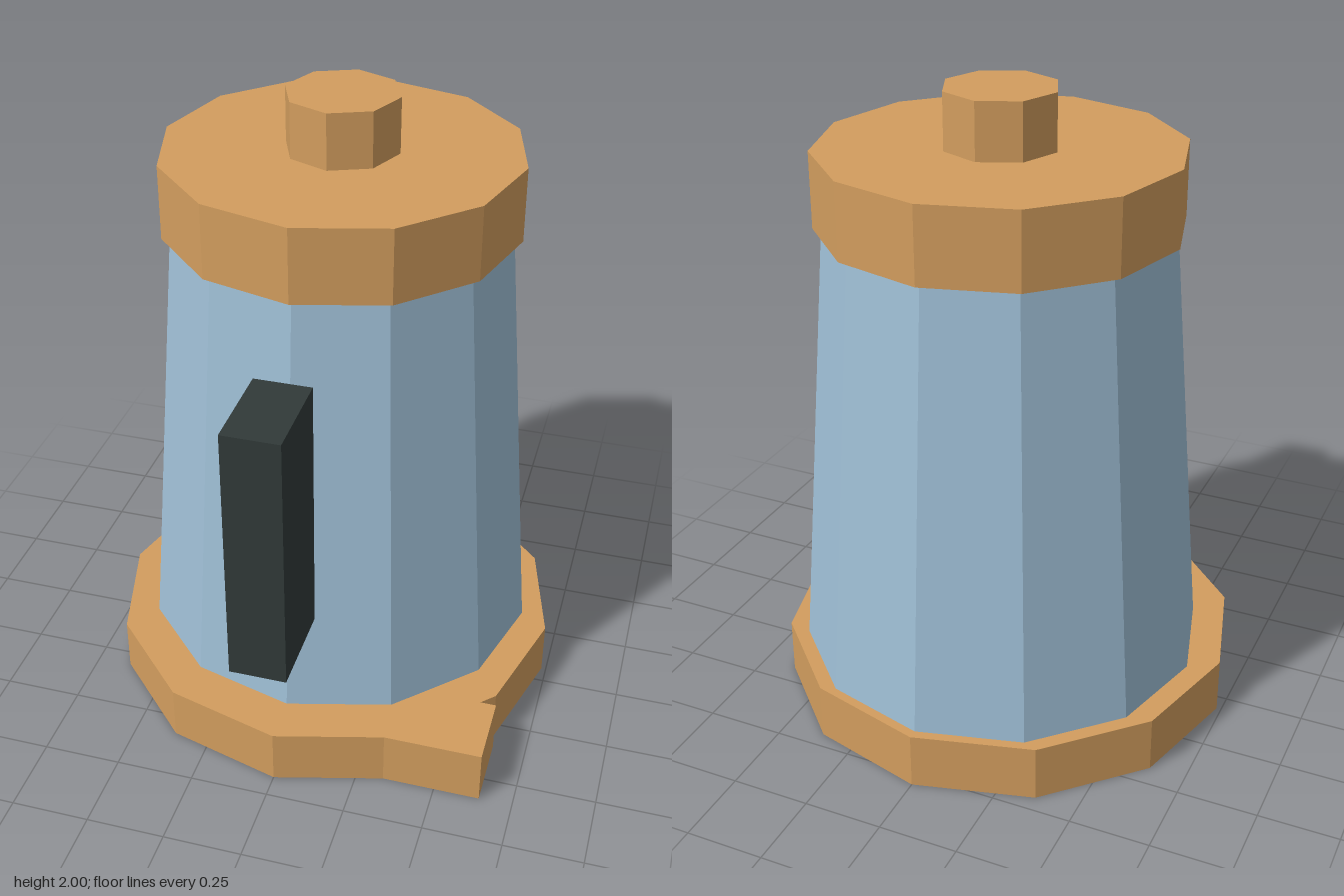
import * as THREE from 'three';

export function createModel() {
  const model = new THREE.Group();
  model.name = 'coffeePot';

  const mat = (name, color) => {
    const m = new THREE.MeshStandardMaterial({ color });
    m.name = name;
    return m;
  };
  const tan = mat('tan', 0xd29d5e);
  const blue = mat('blue', 0x9fbfd6);
  const dark = mat('charcoal', 0x313a39);

  const add = (name, geometry, material, x, y, z) => {
    const mesh = new THREE.Mesh(geometry, material);
    mesh.name = name;
    mesh.position.set(x, y, z);
    model.add(mesh);
  };

  // Faceted prism between two heights, with a corner facing the front
  const prism = (name, rTop, rBottom, y0, y1, z, sides, material) => {
    const g = new THREE.CylinderGeometry(rTop, rBottom, y1 - y0, sides).toNonIndexed();
    g.computeVertexNormals();
    add(name, g, material, 0, (y0 + y1) / 2, z);
  };

  // Box given by its extents
  const box = (name, [x0, x1], [y0, y1], [z0, z1], material) =>
    add(name, new THREE.BoxGeometry(x1 - x0, y1 - y0, z1 - z0), material,
      (x0 + x1) / 2, (y0 + y1) / 2, (z0 + z1) / 2);

  // Base with a square tab at its front left corner
  prism('base', 0.735, 0.735, 0, 0.18, -0.06, 12, tan);
  box('baseTab', [0.3, 0.645], [0, 0.18], [0.35, 0.585], tan);

  // Tapered body, lid and knob
  prism('body', 0.53, 0.645, 0.18, 1.59, -0.12, 12, blue);
  prism('lid', 0.555, 0.555, 1.59, 1.825, -0.12, 12, tan);
  prism('knob', 0.176, 0.176, 1.825, 2, -0.12, 8, tan);

  // Upright handle block at the front
  box('handle', [-0.088, 0.088], [0.535, 1.375], [0.5, 0.795], dark);

  return model;
}
